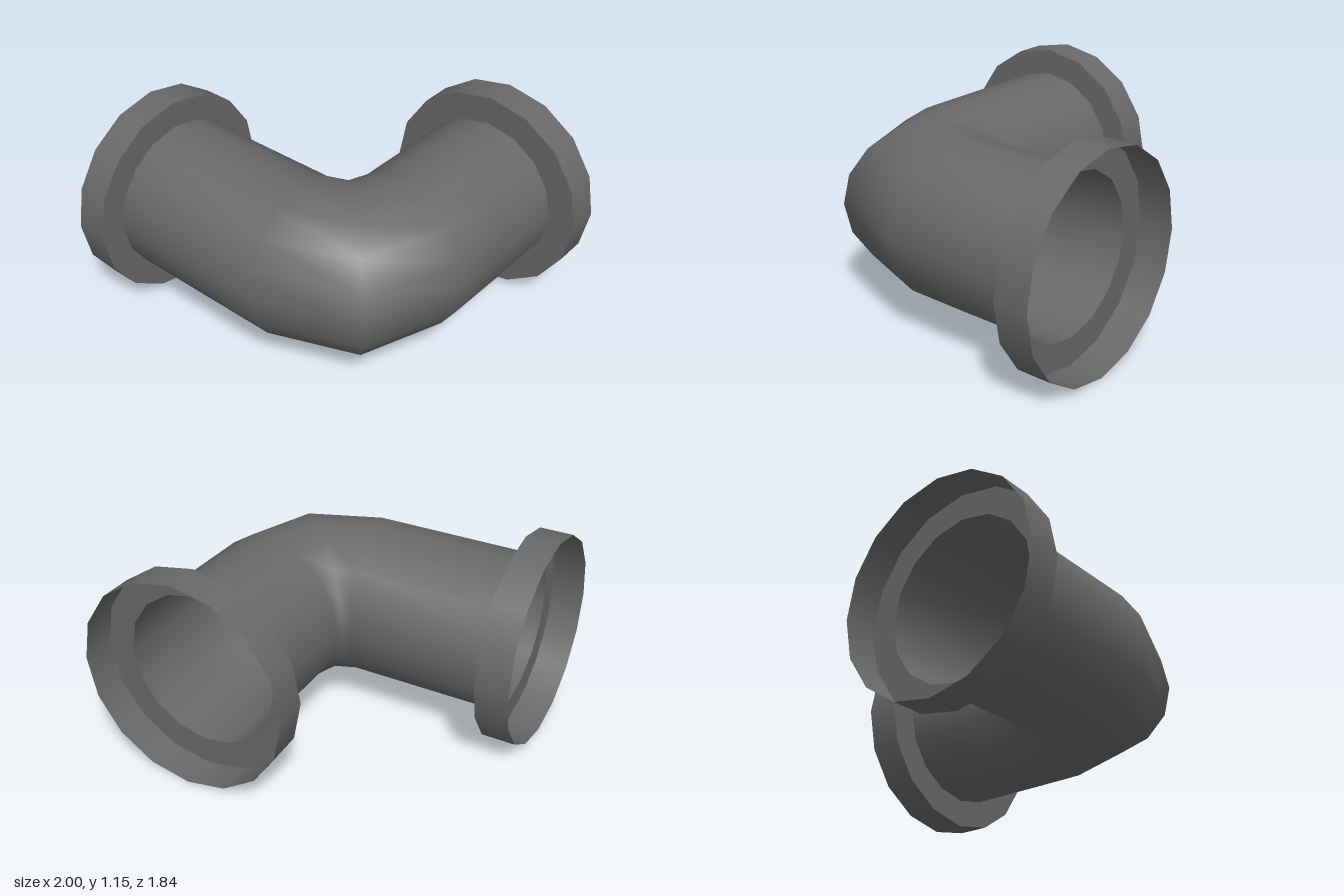
import * as THREE from 'three';

const SIDES = 16;
const AXIS_Y = 0.577;
const BORE = 0.424;
const material = new THREE.MeshStandardMaterial({ color: 0x686868, side: THREE.DoubleSide });

// Bent pipe lofted through mitred rings, each [inner x, inner z, outer x, outer z]
function pipeGeometry(rings, radius) {
  const positions = [];
  const index = [];
  rings.forEach(([ix, iz, ox, oz], k) => {
    const cx = (ix + ox) / 2;
    const cz = (iz + oz) / 2;
    for (let i = 0; i < SIDES; i++) {
      const a = (i / SIDES) * Math.PI * 2;
      positions.push(
        cx + Math.cos(a) * (ox - cx),
        AXIS_Y + Math.sin(a) * radius,
        cz + Math.cos(a) * (oz - cz)
      );
      if (k < rings.length - 1) {
        const p = k * SIDES + i;
        const q = k * SIDES + ((i + 1) % SIDES);
        index.push(p, p + SIDES, q, q, p + SIDES, q + SIDES);
      }
    }
  });
  const geometry = new THREE.BufferGeometry();
  geometry.setAttribute('position', new THREE.Float32BufferAttribute(positions, 3));
  geometry.setIndex(index);
  geometry.computeVertexNormals();
  return geometry;
}

// Open socket: a thin collar with a shoulder at its back, opening towards local +z
function createSocket(name, radius, depth) {
  const group = new THREE.Group();
  group.name = name;

  const collarGeometry = new THREE.CylinderGeometry(radius, radius, depth, SIDES, 1, true);
  collarGeometry.rotateX(Math.PI / 2).translate(0, 0, depth / 2);
  const collar = new THREE.Mesh(collarGeometry, material);
  collar.name = 'collar';

  const shoulder = new THREE.Mesh(new THREE.RingGeometry(BORE, radius, SIDES, 1), material);
  shoulder.name = 'shoulder';

  group.add(collar, shoulder);
  return group;
}

export function createModel() {
  const model = new THREE.Group();
  model.name = 'pipeElbow';

  // Straight run, three mitre joints, straight run
  const pipe = new THREE.Mesh(
    pipeGeometry(
      [
        [-0.822, -0.071, -0.822, 0.777],
        [-0.05, -0.071, 0.11, 0.777],
        [-0.015, -0.085, 0.645, 0.57],
        [-0.003, -0.12, 0.837, 0.05],
        [-0.002, -0.32, 0.844, -0.3],
        [-0.002, -0.737, 0.846, -0.737],
      ],
      BORE
    ),
    material
  );
  pipe.name = 'elbowPipe';

  // Sockets at both ends
  const sideSocket = createSocket('sideSocket', 0.565, 0.178);
  sideSocket.position.set(-0.822, AXIS_Y, 0.353);
  sideSocket.rotation.y = -Math.PI / 2;

  const backSocket = createSocket('backSocket', 0.577, 0.183);
  backSocket.position.set(0.422, AXIS_Y, -0.737);
  backSocket.rotation.y = Math.PI;

  model.add(pipe, sideSocket, backSocket);
  return model;
}
